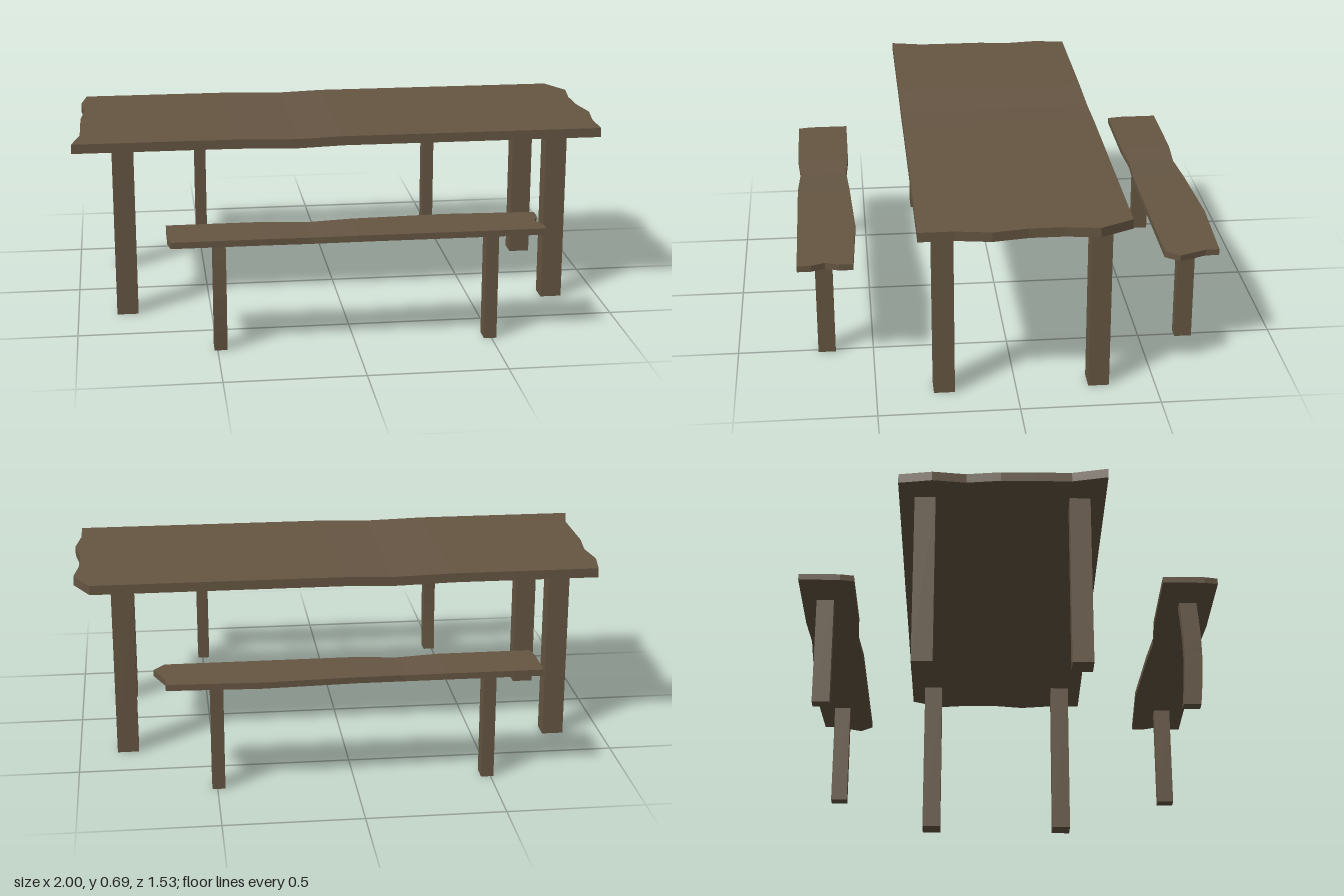
import * as THREE from 'three';

const wood = new THREE.MeshStandardMaterial({ color: 0x665643, flatShading: true });
wood.name = 'brown wood';

// Hewn plank: a subdivided slab moved onto a grid.
// xs: inner stations; back / front: edge z at each station, ends included;
// rows: depth fractions of the ragged ends; left / right: end x at each row.
function plank(name, { y0, y1, xs, back, front, rows, left, right, sag }) {
  const nx = xs.length + 1, nz = rows.length - 1;
  let geo = new THREE.BoxGeometry(nx, 1, nz, nx, 1, nz);
  const p = geo.attributes.position;
  for (let n = 0; n < p.count; n++) {
    const i = Math.round(p.getX(n) + nx / 2);
    const k = Math.round(p.getZ(n) + nz / 2);
    const x = i === 0 ? left[k] : i === nx ? right[k] : xs[i - 1];
    const y = (p.getY(n) > 0 ? y1 : y0) - (i === 2 ? sag : 0);
    p.setXYZ(n, x, y, THREE.MathUtils.lerp(back[i], front[i], rows[k]));
  }
  geo = geo.toNonIndexed();
  geo.computeVertexNormals();
  const mesh = new THREE.Mesh(geo, wood);
  mesh.name = name;
  return mesh;
}

// Square post, optionally bowed toward +z at mid height
function leg(name, x, z, w, d, h, bow = 0) {
  let geo = new THREE.BoxGeometry(w, h, d, 1, bow ? 6 : 1, 1);
  geo.translate(0, h / 2, 0);
  const p = geo.attributes.position;
  for (let n = 0; n < p.count; n++) {
    p.setZ(n, p.getZ(n) + bow * Math.sin(Math.PI * p.getY(n) / h));
  }
  geo = geo.toNonIndexed();
  geo.computeVertexNormals();
  const mesh = new THREE.Mesh(geo, wood);
  mesh.position.set(x, 0, z);
  mesh.name = name;
  return mesh;
}

export function createModel() {
  const model = new THREE.Group();
  model.name = 'tableAndBenches';

  // Table
  const table = new THREE.Group();
  table.name = 'table';
  const edge = (z) => Array(6).fill(z);
  table.add(plank('tableTop', {
    y0: 0.65, y1: 0.685, sag: 0.006,
    xs: [-0.4, -0.17, 0, 0.4],
    back: edge(-0.39), front: edge(0.35),
    rows: [0, 0.162, 0.325, 0.49, 0.66, 0.83, 1],
    left: [-0.95, -0.97, -0.955, -0.97, -0.97, -0.97, -1],
    right: [0.935, 0.995, 0.977, 0.977, 0.997, 0.977, 0.977],
  }));
  for (const x of [-0.815, 0.82]) {
    for (const z of [-0.297, 0.258]) table.add(leg('tableLeg', x, z, 0.08, 0.075, 0.65));
  }
  model.add(table);

  // Benches share wavy long edges; their right ends differ
  const xs = [-0.32, -0.17, 0, 0.34];
  const backEdge = [-0.1, -0.1, -0.09, -0.1, -0.115, -0.1];
  const frontEdge = [0.1, 0.1, 0.09, 0.1, 0.1, 0.1];
  const benches = [
    { name: 'backBench', z: -0.655, right: [0.675, 0.675, 0.695, 0.715, 0.675], legZ: -0.669, bow: 0 },
    { name: 'frontBench', z: 0.665, right: [0.675, 0.675, 0.655, 0.675, 0.675], legZ: 0.672, bow: 0.012 },
  ];
  for (const b of benches) {
    const bench = new THREE.Group();
    bench.name = b.name;
    bench.add(plank('benchSeat', {
      y0: 0.41, y1: 0.433, sag: 0.004, xs,
      back: backEdge.map((z) => z + b.z),
      front: frontEdge.map((z) => z + b.z),
      rows: [0, 0.25, 0.5, 0.75, 1],
      left: [-0.67, -0.67, -0.67, -0.67, -0.66],
      right: b.right,
    }));
    bench.add(leg('benchLeg', -0.488, b.legZ, 0.046, 0.064, 0.41, b.bow));
    bench.add(leg('benchLeg', 0.495, b.legZ, 0.046, 0.064, 0.41));
    model.add(bench);
  }
  return model;
}
